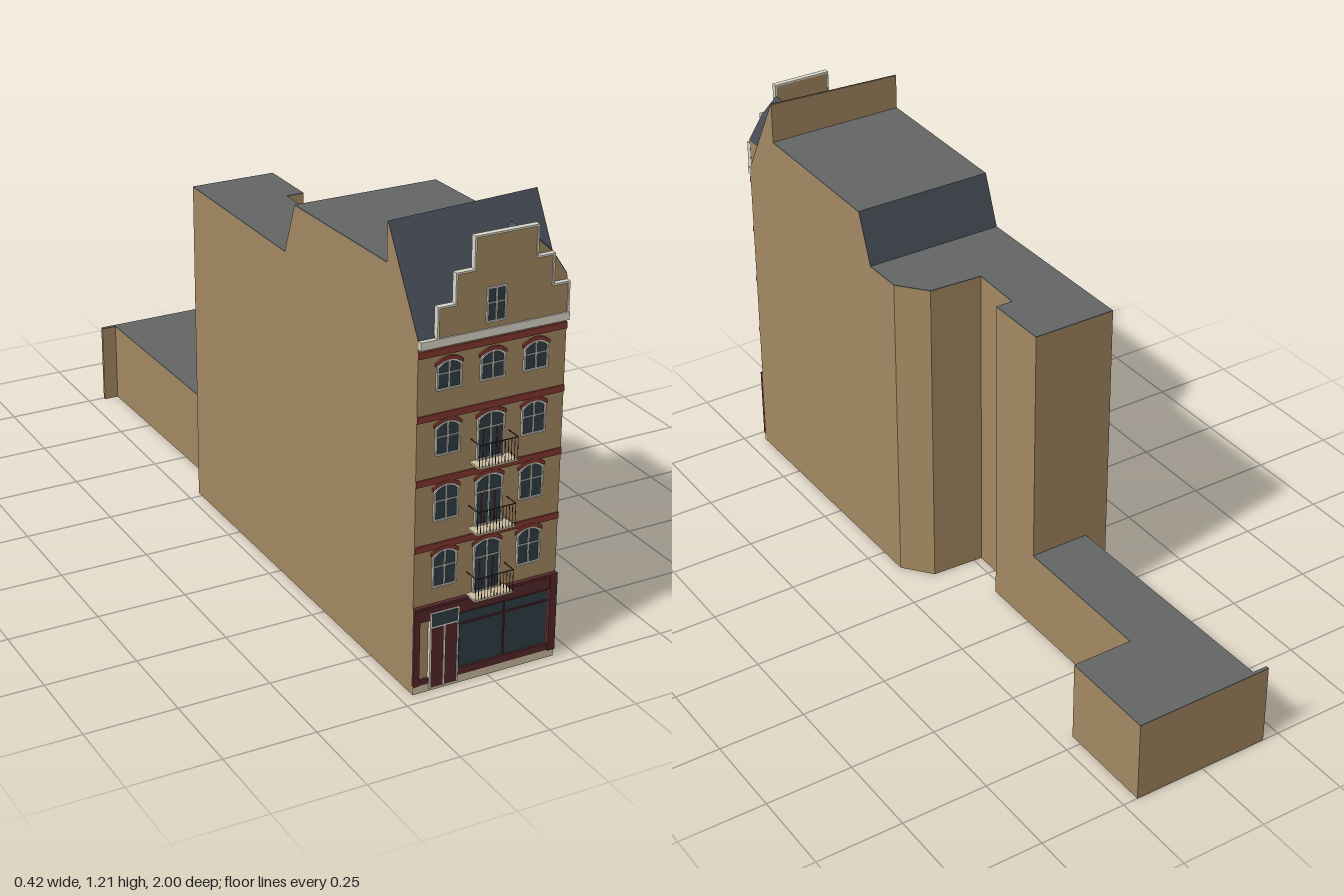
import * as THREE from 'three';

const mat = (color) => new THREE.MeshStandardMaterial({ color, side: THREE.DoubleSide });

export function createModel() {
  const model = new THREE.Group();
  const M = {
    wall: mat(0xa58962), flat: mat(0x636665), slate: mat(0x434852), glass: mat(0x2f3d45),
    white: mat(0xdcd8cc), brick: mat(0x84392f), shop: mat(0x57282a), cream: mat(0xcbbd9f), iron: mat(0x35332f),
  };
  const L = -0.214, R = 0.195, FRONT = 0.957;

  const add = (name, geometry, material, parent = model) => {
    const mesh = new THREE.Mesh(geometry, material);
    mesh.name = name;
    parent.add(mesh);
    return mesh;
  };
  const group = (name, parent = model) => {
    const g = new THREE.Group();
    g.name = name;
    parent.add(g);
    return g;
  };
  const box = (name, m, x0, x1, y0, y1, z0, z1, parent) => {
    const g = new THREE.BoxGeometry(x1 - x0, y1 - y0, z1 - z0);
    g.translate((x0 + x1) / 2, (y0 + y1) / 2, (z0 + z1) / 2);
    return add(name, g, m, parent);
  };
  const polygon = (pts) => new THREE.Shape(pts.map(([a, b]) => new THREE.Vector2(a, b)));
  const extrude = (shape, depth) =>
    new THREE.ExtrudeGeometry(shape, { depth, bevelEnabled: false, curveSegments: 6 });

  // Side profile of [z, y] points swept across the width; the ridge rises slightly to the right
  const acrossWidth = (name, m, pts) => {
    const g = extrude(polygon(pts), R - L);
    g.rotateY(-Math.PI / 2).translate(R, 0, 0);
    const p = g.attributes.position;
    for (let i = 0; i < p.count; i++) {
      if (p.getY(i) > 1.15) p.setY(i, p.getY(i) - 0.015 * (R - p.getX(i)) / (R - L));
    }
    g.computeVertexNormals();
    add(name, g, m);
  };
  // Plan of [x, z] points raised to a height, with a thin flat roof on top
  const block = (name, pts, height) => {
    const plan = polygon(pts.map(([x, z]) => [x, -z]));
    add(name + 'Walls', extrude(plan, height - 0.003).rotateX(-Math.PI / 2), M.wall);
    add(name + 'Roof', extrude(plan, 0.003).rotateX(-Math.PI / 2).translate(0, height - 0.003, 0), M.flat);
  };

  // Main house and its roofs
  acrossWidth('mainHouse', M.wall, [[0.28, 0], [FRONT, 0], [FRONT, 0.942], [0.808, 1.207],
    [0.805, 1.207], [0.805, 1.088], [0.335, 1.077], [0.28, 0.932]]);
  const roofStrip = (name, m, [z0, y0], [z1, y1]) =>
    acrossWidth(name, m, [[z0, y0], [z1, y1], [z1, y1 + 0.004], [z0, y0 + 0.004]]);
  roofStrip('frontRoof', M.slate, [0.808, 1.205], [FRONT, 0.942]);
  roofStrip('flatRoof', M.flat, [0.335, 1.076], [0.805, 1.087]);
  roofStrip('rearRoofSlope', M.slate, [0.28, 0.932], [0.335, 1.076]);

  // Rear parts
  block('rearHouse', [[L, 0.28], [R, 0.28], [R, 0.16], [0.13, 0.08], [-0.025, 0.072], [-0.02, -0.085],
    [0.03, -0.085], [0.03, -0.27], [L, -0.27]], 0.937);
  block('yardWing', [[-0.145, -0.27], [0.03, -0.27], [0.03, -0.715], [0.207, -0.715], [0.207, -1],
    [-0.2, -1], [-0.2, -0.99], [-0.157, -0.99]], 0.24);

  // Dormer behind the stepped gable
  const dormer = group('dormer');
  const ridge = [[0.193, 1.035], [0.15, 1.1], [0.1, 1.146], [0.01, 1.05]];
  add('dormerWalls', extrude(polygon([[0.01, 0.945], [0.193, 0.945], ...ridge]), 0.113).translate(0, 0, 0.842), M.wall, dormer);
  const upper = ridge.map(([x, y]) => [x, y + 0.005]).reverse();
  add('dormerRoof', extrude(polygon([...ridge, ...upper]), 0.108).translate(0, 0, 0.845), M.slate, dormer);

  // Stepped gable with coping
  const gable = group('steppedGable');
  const steps = [[-0.167, 0.945], [-0.167, 1.023], [-0.12, 1.023], [-0.12, 1.1], [-0.071, 1.1], [-0.071, 1.182],
    [0.099, 1.182], [0.099, 1.102], [0.146, 1.102], [0.146, 1.023], [0.191, 1.023], [0.191, 0.945]];
  add('gableWall', extrude(polygon(steps), 0.012).translate(0, 0, 0.953), M.wall, gable);
  for (let i = 0; i < steps.length - 1; i++) {
    const [[xa, ya], [xb, yb]] = [steps[i], steps[i + 1]], t = 0.0025;
    box('gableCoping', M.white, Math.min(xa, xb) - t, Math.max(xa, xb) + t,
      Math.min(ya, yb) - t, Math.max(ya, yb) + t, 0.952, 0.968, gable);
  }

  // Cornice and brick bands
  box('cornice', M.white, L, R, 0.925, 0.946, 0.95, 0.969);
  for (const y of [0.39, 0.567, 0.735, 0.9]) box('brickBand', M.brick, L, R, y, y + 0.017, 0.95, 0.961);

  // Windows: a frame around glass, with glazing bars and a brick arch
  const opening = (w, y0, y1, rise) => {
    const s = new THREE.Shape();
    s.moveTo(-w, y0);
    s.lineTo(w, y0);
    s.lineTo(w, y1 - rise);
    s.quadraticCurveTo(w * 0.6, y1, 0, y1);
    s.quadraticCurveTo(-w * 0.6, y1, -w, y1 - rise);
    s.closePath();
    return s;
  };
  const makeWindow = (x, y0, y1, w, rise, bars = 1) => {
    const g = group('window');
    const t = 0.004, z = FRONT + (rise ? 0 : 0.007);
    const frame = opening(w, y0, y1, rise);
    frame.holes.push(opening(w - t, y0 + t, y1 - t, rise));
    add('windowFrame', extrude(frame, 0.006).translate(0, 0, z), M.white, g);
    add('windowGlass', extrude(opening(w - t, y0 + t, y1 - t, rise), 0.002).translate(0, 0, z), M.glass, g);
    box('glazingPost', M.white, -0.002, 0.002, y0, y1 - t, z, z + 0.005, g);
    const yBar = y0 + (y1 - y0) * (bars > 1 ? 0.66 : 0.55);
    box('glazingBar', M.white, -w, w, yBar - 0.0015, yBar + 0.0015, z, z + 0.005, g);
    if (bars > 1) for (const s of [-0.5, 0.5]) {
      box('doorLeafBar', M.shop, s * w - 0.0015, s * w + 0.0015, y0, yBar, z, z + 0.004, g);
    }
    if (rise) {
      const arch = new THREE.Shape();
      const e = w + 0.004, low = y1 - rise;
      arch.moveTo(-e, low);
      arch.quadraticCurveTo(-w * 0.6, y1, 0, y1);
      arch.quadraticCurveTo(w * 0.6, y1, e, low);
      arch.lineTo(e, low + 0.009);
      arch.quadraticCurveTo(w * 0.6, y1 + 0.009, 0, y1 + 0.009);
      arch.quadraticCurveTo(-w * 0.6, y1 + 0.009, -e, low + 0.009);
      add('windowArch', extrude(arch, 0.005).translate(0, 0, FRONT), M.brick, g);
    }
    g.position.x = x;
  };
  const floors = [[0.285, 0.242, 0.386], [0.466, 0.425, 0.562], [0.64, 0.603, 0.728], [0.81, 0.81, 0.886]];
  floors.forEach(([sill, middleSill, top], i) => {
    for (const x of [-0.13, 0.11]) makeWindow(x, sill, top, 0.034, 0.014);
    makeWindow(-0.01, middleSill, top, 0.038 - (i === 3 ? 0.004 : 0), 0.014, i === 3 ? 1 : 2);
  });
  makeWindow(-0.01, 0.961, 1.05, 0.027, 0);

  // Balconies with iron railings
  for (const y of [0.242, 0.424, 0.602]) {
    const g = group('balcony');
    const x0 = -0.065, x1 = 0.044, top = y + 0.062, r = 0.001;
    box('balconyFloor', M.cream, x0, x1, y - 0.003, y + 0.002, FRONT, 1, g);
    box('frontRail', M.iron, x0, x1, top - 0.002, top, 0.998, 1, g);
    for (const x of [x0 + r, x1 - r]) box('sideRail', M.iron, x - r, x + r, top - 0.002, top, FRONT, 1, g);
    for (let i = 0; i <= 12; i++) {
      const x = x0 + r + (x1 - x0 - 2 * r) * i / 12;
      box('baluster', M.iron, x - r * 0.6, x + r * 0.6, y, top, 0.9985, 0.9997, g);
    }
  }

  // Shop front
  const shop = group('shopFront');
  box('plinth', M.cream, L, R, 0, 0.022, 0.95, 0.963, shop);
  box('fascia', M.shop, L, R, 0.2, 0.24, 0.95, 0.966, shop);
  box('fasciaMoulding', M.shop, L, R, 0.234, 0.241, 0.95, 0.969, shop);
  box('shopBase', M.shop, -0.088, R, 0.022, 0.042, 0.95, 0.964, shop);
  box('leftBase', M.shop, L, -0.17, 0.022, 0.037, 0.95, 0.964, shop);
  box('leftPilaster', M.shop, L, -0.198, 0.022, 0.2, 0.95, 0.966, shop);
  box('rightPilaster', M.shop, 0.175, R, 0.022, 0.24, 0.95, 0.969, shop);
  box('shopWindow', M.glass, -0.082, 0.172, 0.042, 0.197, 0.95, 0.959, shop);
  box('shopWindowPost', M.shop, 0.043, 0.047, 0.042, 0.2, 0.95, 0.962, shop);
  box('shopWindowBar', M.shop, -0.085, 0.175, 0.163, 0.167, 0.95, 0.962, shop);
  box('shopWindowHead', M.shop, -0.085, 0.175, 0.194, 0.2, 0.95, 0.962, shop);

  // Door with fanlight
  box('door', M.shop, -0.166, -0.092, 0.008, 0.174, 0.95, 0.965, shop);
  for (const x of [-0.168, -0.129, -0.09]) box('doorTrim', M.white, x - 0.002, x + 0.002, 0.008, 0.176, 0.95, 0.967, shop);
  box('fanlightFrame', M.white, -0.17, -0.088, 0.176, 0.22, 0.95, 0.967, shop);
  box('fanlight', M.glass, -0.166, -0.092, 0.181, 0.216, 0.95, 0.968, shop);

  return model;
}
